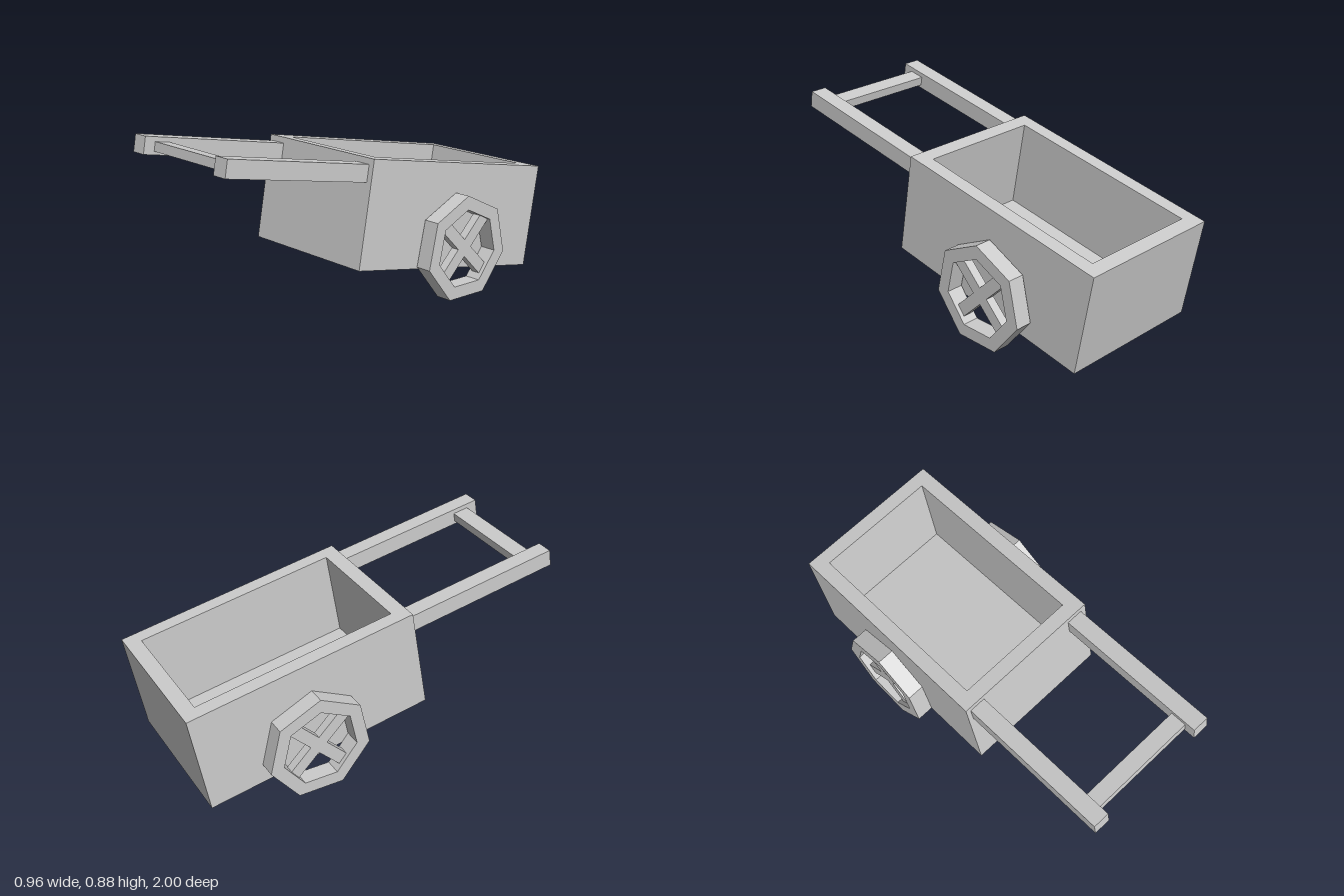
import * as THREE from 'three';

const material = new THREE.MeshStandardMaterial({ color: 0xcccccc, flatShading: true });

function addMesh(parent, name, geometry, x = 0, y = 0, z = 0) {
  const mesh = new THREE.Mesh(geometry, material);
  mesh.name = name;
  mesh.position.set(x, y, z);
  parent.add(mesh);
  return mesh;
}

// Closed polygon points with the first corner pointing straight up
function polygon(radius, sides) {
  return Array.from({ length: sides }, (_, i) => {
    const a = Math.PI / 2 + (i / sides) * Math.PI * 2;
    return new THREE.Vector2(radius * Math.cos(a), radius * Math.sin(a));
  });
}

function rectangle(w, h) {
  return [[-1, -1], [1, -1], [1, 1], [-1, 1]].map(([x, y]) => new THREE.Vector2(x * w / 2, y * h / 2));
}

// Outline with a hole, extruded and centred along z
function frame(outer, inner, depth) {
  const shape = new THREE.Shape(outer);
  shape.holes.push(new THREE.Path(inner));
  return new THREE.ExtrudeGeometry(shape, { depth, bevelEnabled: false }).translate(0, 0, -depth / 2);
}

// Seven-sided rim with two crossed spokes
function createWheel(name) {
  const wheel = new THREE.Group();
  wheel.name = name;
  addMesh(wheel, 'rim', frame(polygon(0.271, 7), polygon(0.2, 7), 0.087));
  for (const side of [-1, 1]) {
    const spoke = addMesh(wheel, 'spoke', new THREE.BoxGeometry(0.42, 0.062, 0.045));
    spoke.rotation.z = side * Math.PI / 4;
  }
  wheel.rotation.y = Math.PI / 2;
  return wheel;
}

export function createModel() {
  const cart = new THREE.Group();
  cart.name = 'handcart';

  // Tray and handles share one tilt, with the handles raised
  const tilted = new THREE.Group();
  tilted.name = 'tiltedBody';
  tilted.position.set(-0.0035, 0.3975, -0.3625);
  tilted.rotation.x = -0.176;
  cart.add(tilted);

  // Open tray: four walls and a floor
  const width = 0.783, height = 0.533, length = 1.19, wall = 0.076;
  const innerW = width - 2 * wall, innerL = length - 2 * wall;
  const walls = frame(rectangle(width, length), rectangle(innerW, innerL), height).rotateX(-Math.PI / 2);
  addMesh(tilted, 'trayWalls', walls);
  addMesh(tilted, 'trayFloor', new THREE.BoxGeometry(innerW, wall, innerL), 0, -height / 2 + wall / 2, 0);

  // Pull handles and the grip between them
  const tip = 1.411, root = length / 2;
  for (const side of [-1, 1]) {
    addMesh(tilted, side > 0 ? 'leftHandle' : 'rightHandle',
      new THREE.BoxGeometry(0.086, 0.086, tip - root), side * 0.321 - 0.003, 0.194, (tip + root) / 2);
  }
  addMesh(tilted, 'grip', new THREE.BoxGeometry(0.556, 0.046, 0.084), -0.003, 0.191, 1.313);

  // Wheels
  for (const side of [-1, 1]) {
    const wheel = createWheel(side > 0 ? 'leftWheel' : 'rightWheel');
    wheel.position.set(side * 0.4385 - 0.0015, 0.244, -0.368);
    cart.add(wheel);
  }
  return cart;
}
